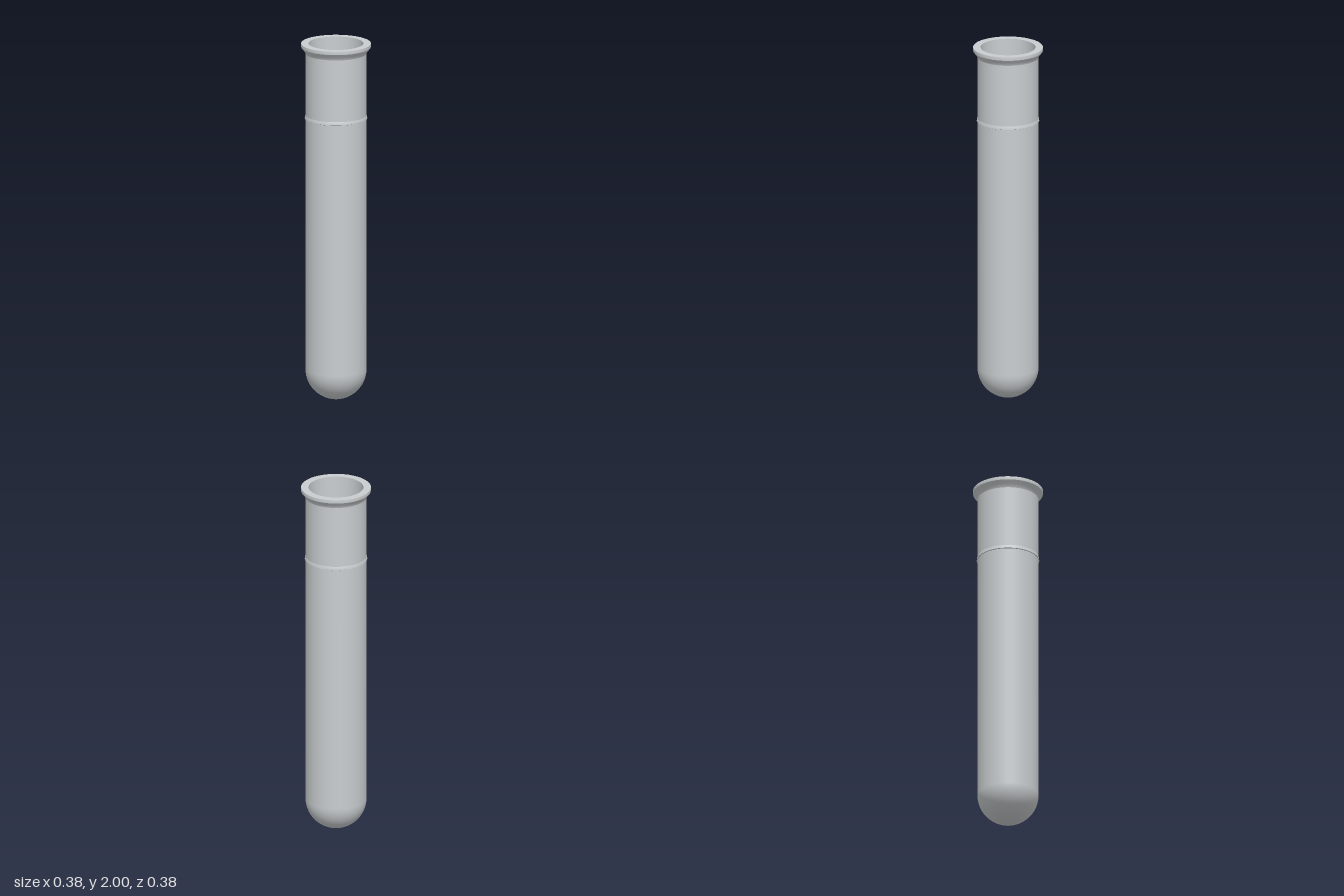
import * as THREE from 'three';

const SEGMENTS = 64;
const OUTER = 0.167, INNER = 0.15, LIQUID = 0.146;

// Quarter circle from the bottom pole up to the side, centred at height y
function roundBottom(radius, y, steps = 14) {
  return Array.from({ length: steps + 1 }, (_, i) => {
    const a = (i / steps) * Math.PI / 2;
    return [radius * Math.sin(a), y - radius * Math.cos(a)];
  });
}

// Revolved surface: upward profiles face outward, downward ones face inward
function revolve(name, profile, material) {
  const points = profile.map(([r, y]) => new THREE.Vector2(r, y));
  const mesh = new THREE.Mesh(new THREE.LatheGeometry(points, SEGMENTS), material);
  mesh.name = name;
  return mesh;
}

export function createModel() {
  const glass = new THREE.MeshStandardMaterial({ color: 0xc9cdcf });
  glass.name = 'grey glass';
  const blue = new THREE.MeshStandardMaterial({ color: 0x2196f3 });
  blue.name = 'blue liquid';

  const model = new THREE.Group();
  model.name = 'testTube';

  // Tube: outer wall, and inner wall running down to a rounded floor
  const tube = new THREE.Group();
  tube.name = 'tube';
  tube.add(
    revolve('outerWall', [...roundBottom(OUTER, OUTER), [OUTER, 1.95]], glass),
    revolve('innerWall', [[INNER, 2], ...roundBottom(INNER, OUTER).reverse()], glass),
  );

  // Flared lip with a thin rounded edge and a flat top
  const lip = new THREE.Group();
  lip.name = 'lip';
  lip.add(
    revolve('lipFlare', [[OUTER, 1.945], [0.17, 1.953], [0.177, 1.963], [0.185, 1.973], [0.191, 1.981]], glass),
    revolve('lipEdge', [[0.191, 1.981], [0.192, 1.988], [0.191, 2]], glass),
    revolve('lipTop', [[0.191, 2], [INNER, 2]], glass),
  );

  // Fine raised ring around the neck
  const ring = new THREE.Group();
  ring.name = 'neckRing';
  ring.add(
    revolve('ringUnderside', [[OUTER, 1.577], [0.171, 1.579]], glass),
    revolve('ringSlope', [[0.171, 1.579], [0.17, 1.59], [0.166, 1.6]], glass),
  );

  // Liquid with a gently dished surface
  const level = 1.2, rise = 0.021;
  const dish = Array.from({ length: 9 }, (_, i) => {
    const t = 1 - i / 8;
    return [LIQUID * t, level + rise * t * t];
  });
  const liquid = new THREE.Group();
  liquid.name = 'liquid';
  liquid.add(
    revolve('liquidBody', [...roundBottom(LIQUID, OUTER), [LIQUID, level + rise]], blue),
    revolve('liquidSurface', dish, blue),
  );

  model.add(tube, lip, ring, liquid);
  return model;
}
